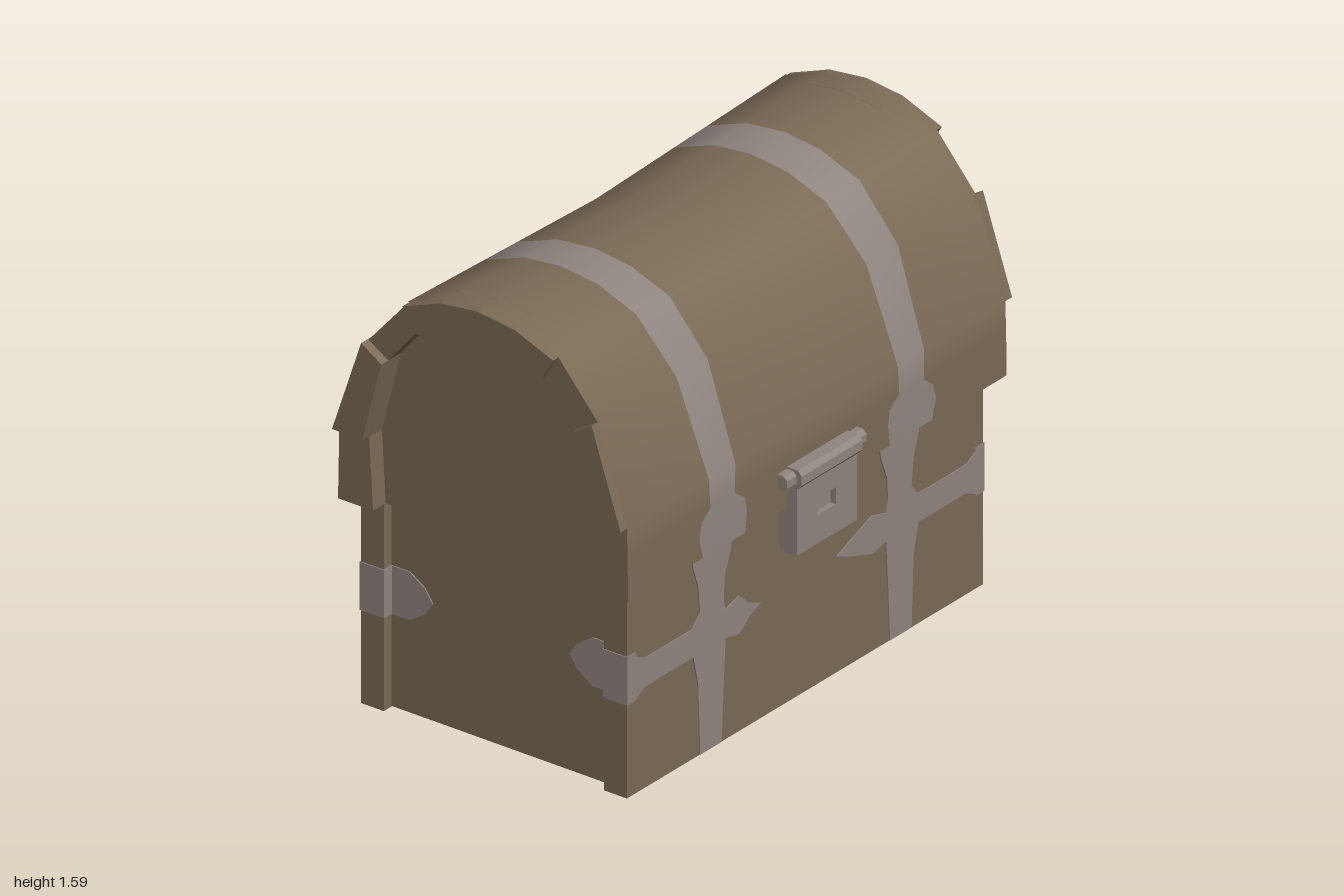
import * as THREE from 'three';

export function createModel() {
  const model = new THREE.Group();
  model.name = 'chest';
  const wood = new THREE.MeshStandardMaterial({ color: 0x7a6a55 });
  wood.name = 'brown wood';
  const metal = new THREE.MeshStandardMaterial({ color: 0x8f8580 });
  metal.name = 'grey metal';

  const add = (name, geometry, material, x = 0, y = 0, z = 0) => {
    const mesh = new THREE.Mesh(geometry, material);
    mesh.name = name;
    mesh.position.set(x, y, z);
    model.add(mesh);
    return mesh;
  };
  // Box given by its limits on each axis
  const box = (name, material, [x0, x1], [y0, y1], [z0, z1]) =>
    add(name, new THREE.BoxGeometry(x1 - x0, y1 - y0, z1 - z0), material,
      (x0 + x1) / 2, (y0 + y1) / 2, (z0 + z1) / 2);
  const toShape = (pts) => new THREE.Shape(pts.map(([x, y]) => new THREE.Vector2(x, y)));
  // Prism with a [z, y] outline, running along x
  const prismX = (name, material, pts, x0, x1) => {
    const g = new THREE.ExtrudeGeometry(toShape(pts.map(([z, y]) => [-z, y])),
      { depth: x1 - x0, bevelEnabled: false });
    g.rotateY(Math.PI / 2);
    return add(name, g, material, x0);
  };
  const mirrorZ = (pts) => pts.map(([z, y]) => [-z, y]);

  // Base: recessed core between a front and a back plank
  box('baseCore', wood, [-0.87, 0.87], [0.002, 0.73], [-0.44, 0.44]);
  for (const s of [1, -1]) {
    box(s > 0 ? 'frontPlank' : 'backPlank', wood, [-0.91, 0.91], [0, 0.73],
      s > 0 ? [0.435, 0.525] : [-0.525, -0.435]);
  }

  // Flat strap crosses on the front and back planks
  const cross = (side, tip) => toShape([
    [0.43, 0.002], [0.54, 0.002], [0.55, 0.25], [0.575, 0.36], [0.82, 0.36], [0.88, 0.33],
    [0.91, 0.33], [0.91, 0.5], [0.88, 0.49], [0.82, 0.46], [0.58, 0.46], [0.54, 0.5],
    [0.55, 0.6], [0.575, 0.67], [0.585, 0.73], [0.37, 0.73], [0.385, 0.66], [0.415, 0.58],
    [0.42, 0.5], [0.41, 0.46], [0.34, 0.48], [tip + 0.06, 0.435], [tip, 0.41],
    [tip + 0.06, 0.385], [0.34, 0.345], [0.41, 0.36], [0.42, 0.2],
  ].map(([x, y]) => [x * side, y]));
  for (const face of [1, -1]) {
    for (const side of [1, -1]) {
      const g = new THREE.ExtrudeGeometry(cross(side * face, side > 0 ? 0.16 : 0.23),
        { depth: 0.004, bevelEnabled: false });
      const strap = add('baseStrap', g, metal, 0, 0, face * 0.525);
      if (face < 0) strap.rotation.y = Math.PI;
    }
  }

  // Straps wrapping the corners and ending in points on the end panels
  const arrow = [[0.437, 0.33], [0.36, 0.33], [0.3, 0.37], [0.27, 0.415],
    [0.3, 0.46], [0.36, 0.5], [0.437, 0.5]];
  for (const sx of [1, -1]) {
    for (const sz of [1, -1]) {
      const xs = (a, b) => (sx > 0 ? [a, b] : [-b, -a]);
      box('cornerStrap', metal, xs(0.868, 0.914), [0.33, 0.5],
        sz > 0 ? [0.431, 0.528] : [-0.528, -0.431]);
      prismX('sideStrap', metal, sz > 0 ? arrow : mirrorZ(arrow), ...xs(0.868, 0.874));
    }
  }

  // Lid skin: half profile rows of z, y, strap inner x, strap outer x
  const half = [
    [0.575, 0.73, 0.37, 0.585], [0.575, 0.8, 0.36, 0.605], [0.574, 0.855, 0.37, 0.59],
    [0.573, 0.89, 0.42, 0.545], [0.571, 0.99, 0.415, 0.55], [0.455, 1.33, 0.405, 0.565],
    [0.3, 1.51, 0.4, 0.57], [0.145, 1.57, 0.4, 0.57], [0, 1.587, 0.4, 0.57],
  ];
  const rows = [...half, ...half.slice(0, -1).reverse().map(([z, ...r]) => [-z, ...r])];
  const END = 0.965;
  const cols = 7;
  const positions = [];
  for (const [z, y, a, b] of rows) {
    for (const x of [-END, -b, -a, 0, a, b, END]) {
      const sag = 0.042 * (1 - Math.abs(x) / END) * Math.max(0, (y - 0.99) / 0.6);
      positions.push(x, y - sag, z);
    }
  }
  const skin = new THREE.BufferGeometry();
  skin.setAttribute('position', new THREE.Float32BufferAttribute(positions, 3));
  const index = [];
  for (let c = 0; c < cols - 1; c++) {
    const start = index.length;
    for (let r = 0; r < rows.length - 1; r++) {
      const a = r * cols + c;
      const d = a + cols;
      index.push(a, a + 1, d, a + 1, d + 1, d);
    }
    skin.addGroup(start, index.length - start, c === 1 || c === 4 ? 1 : 0);
  }
  skin.setIndex(index);
  skin.computeVertexNormals();
  add('lidSkin', skin, [wood, metal]);

  // Lid core with its end panels, and the underside of the overhang
  const innerHalf = [[0.435, 0.73], [0.45, 0.985], [0.375, 1.28], [0.25, 1.43]];
  const inner = [...innerHalf, [0, 1.47], ...mirrorZ(innerHalf).reverse()];
  prismX('lidCore', wood, inner, -0.9, 0.9);
  box('lidUnderside', wood, [-0.9, 0.9], [0.73, 0.74], [-0.573, 0.573]);

  // Arched frame and raised blocks on each lid end
  const outerHalf = [[0.573, 0.73], [0.568, 0.99], [0.453, 1.328], [0.298, 1.507], [0.145, 1.567]];
  const outer = [...outerHalf, [0, 1.584], ...mirrorZ(outerHalf).reverse()];
  const frame = [...outer, ...[...inner].reverse()];
  const sideBlock = [[0.57, 0.99], [0.455, 1.33], [0.375, 1.28], [0.45, 0.99]];
  const topBlock = [[0.298, 1.507], [0.145, 1.567], [0, 1.584], [-0.145, 1.567], [-0.298, 1.507],
    [-0.25, 1.425], [0, 1.468], [0.25, 1.425]];
  for (const s of [1, -1]) {
    const xs = (a, b) => (s > 0 ? [a, b] : [-b, -a]);
    prismX('lidEndFrame', wood, frame, ...xs(0.88, END));
    prismX('lidSideBlock', wood, sideBlock, ...xs(0.95, 1));
    prismX('lidSideBlock', wood, mirrorZ(sideBlock), ...xs(0.95, 1));
    prismX('lidTopBlock', wood, topBlock, ...xs(0.95, 0.993));
  }

  // Latch plate with a slot and a raised rim
  const plate = toShape([[-0.153, 0.57], [0.153, 0.57], [0.153, 0.83], [-0.153, 0.83]]);
  const slot = [[-0.045, 0.67], [0.045, 0.67], [0.045, 0.73], [-0.045, 0.73]];
  plate.holes.push(toShape(slot));
  add('latchPlate', new THREE.ExtrudeGeometry(plate, { depth: 0.07, bevelEnabled: false }),
    metal, 0, 0, 0.542);
  box('latchSlotBack', metal, [-0.06, 0.06], [0.66, 0.74], [0.55, 0.592]);

  // Latch bar with narrower ends
  const bar = (h, z1) => [[0.565, 0.84 - h], [z1 - 0.015, 0.84 - h], [z1, 0.84 - h * 0.5],
    [z1, 0.84 + h * 0.5], [z1 - 0.015, 0.84 + h], [0.565, 0.84 + h]];
  prismX('latchBar', metal, bar(0.033, 0.632), -0.155, 0.155);
  prismX('latchBarEnds', metal, bar(0.026, 0.612), -0.203, 0.203);

  // Rounded hinge roll on the back
  const hinge = new THREE.CapsuleGeometry(0.058, 0.575, 3, 8);
  hinge.rotateZ(Math.PI / 2);
  add('hinge', hinge, metal, 0, 0.727, -0.572);

  return model;
}
